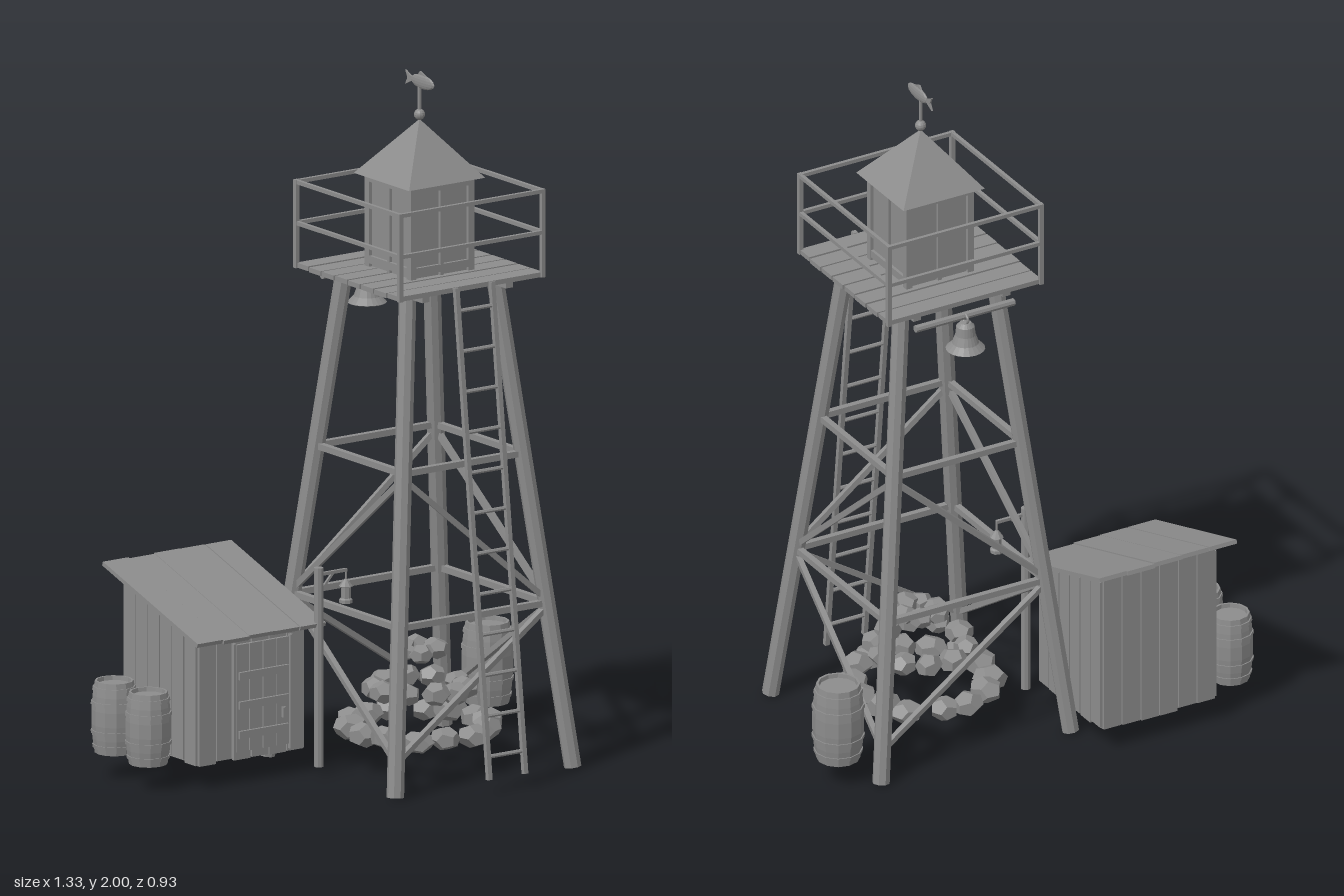
import * as THREE from 'three';

const CX = 0.19, CZ = 0.045; // tower axis
const UP = new THREE.Vector3(0, 1, 0);
const V = (x, y, z) => new THREE.Vector3(x, y, z);

export function createModel() {
  const root = new THREE.Group();
  root.name = 'watchtower';
  const grey = new THREE.MeshStandardMaterial({ color: 0x8c8c8c, flatShading: true });
  grey.name = 'weathered grey';

  let seed = 7;
  const rnd = () => (seed = (seed * 16807) % 2147483647) / 2147483647;
  const jit = (a) => (rnd() - 0.5) * 2 * a;

  const group = (name, parent = root) => {
    const g = new THREE.Group();
    g.name = name;
    parent.add(g);
    return g;
  };
  const add = (name, geo, parent, x = 0, y = 0, z = 0) => {
    const m = new THREE.Mesh(geo, grey);
    m.name = name;
    m.position.set(x, y, z);
    parent.add(m);
    return m;
  };
  const box = (name, parent, w, h, d, x, y, z) =>
    add(name, new THREE.BoxGeometry(w, h, d), parent, x, y, z);
  // straight member between two points, square or round
  const beam = (name, parent, a, b, t, sides = 0) => {
    const len = a.distanceTo(b);
    const geo = sides ? new THREE.CylinderGeometry(t, t, len, sides) : new THREE.BoxGeometry(t, len, t);
    const m = add(name, geo, parent);
    m.position.copy(a).lerp(b, 0.5);
    m.quaternion.setFromUnitVectors(UP, b.clone().sub(a).normalize());
    return m;
  };
  const lathe = (name, parent, pts, n, x, y, z) =>
    add(name, new THREE.LatheGeometry(pts.map((p) => new THREE.Vector2(p[0], p[1])), n), parent, x, y, z);

  // Tower legs and bracing
  const frame = group('towerFrame');
  const legAt = (sx, sz, y) => {
    const h = 0.308 - 0.158 * (y / 1.42);
    return V(CX + sx * h, y, CZ + sz * h);
  };
  const corners = [[1, 1], [1, -1], [-1, -1], [-1, 1]];
  corners.forEach((c, i) => {
    beam('leg', frame, legAt(...c, 0.003), legAt(...c, 1.415), 0.025, 8);
    const n = corners[(i + 1) % 4];
    for (const y of [0.475, 0.905]) beam('crossBeam', frame, legAt(...c, y), legAt(...n, y), 0.018);
    // braces meet at mid height on the front-left and back-right legs
    const [m, e] = i % 2 === 0 ? [c, n] : [n, c];
    beam('upperBrace', frame, legAt(...e, 0.89), legAt(...m, 0.485), 0.016);
    beam('lowerBrace', frame, legAt(...m, 0.465), legAt(...e, 0.1), 0.016);
  });

  // Deck planks and joists
  const deck = group('deck');
  for (let i = 0; i < 8; i++)
    box('deckPlank', deck, 0.5 + jit(0.004), 0.014, 0.056, CX, 1.422 + jit(0.001), CZ - 0.219 + i * 0.0626);
  for (const s of [-1, 1]) box('joist', deck, 0.025, 0.02, 0.46, CX + s * 0.145, 1.405, CZ);

  // Railing
  const railing = group('railing');
  corners.forEach((c, i) => {
    const p = (k, y) => V(CX + k[0] * 0.247, y, CZ + k[1] * 0.247);
    beam('railPost', railing, p(c, 1.415), p(c, 1.67), 0.013);
    for (const y of [1.545, 1.664]) beam('rail', railing, p(c, y), p(corners[(i + 1) % 4], y), 0.011);
  });

  // Lookout cabin
  const cabin = group('cabin');
  box('cabinCore', cabin, 0.2, 0.27, 0.2, CX, 1.563, CZ);
  for (let i = 0; i < 4; i++) {
    const side = group('cabinWall', cabin);
    side.position.set(CX, 0, CZ);
    side.rotation.y = (i * Math.PI) / 2;
    box('cornerPost', side, 0.02, 0.27, 0.02, 0.1, 1.563, 0.1);
    box('mullion', side, 0.012, 0.27, 0.012, 0, 1.563, 0.102);
    box('sill', side, 0.2, 0.022, 0.014, 0, 1.45, 0.102);
    box('lintel', side, 0.2, 0.02, 0.014, 0, 1.685, 0.102);
  }
  const roof = add('cabinRoof', new THREE.ConeGeometry(0.132 * Math.SQRT2, 0.163, 4), cabin, CX, 1.777, CZ);
  roof.rotation.y = Math.PI / 4;

  // Weather vane with a fish
  const vane = group('weatherVane');
  add('ball', new THREE.SphereGeometry(0.016, 12, 8), vane, CX, 1.872, CZ);
  beam('rod', vane, V(CX, 1.86, CZ), V(CX, 1.97, CZ), 0.005, 8);
  add('fishBody', new THREE.SphereGeometry(1, 12, 8), vane, CX, 1.968, 0.06).scale.set(0.008, 0.021, 0.056);
  const fin = (name, pts) => {
    const s = new THREE.Shape(pts.map((p) => new THREE.Vector2(p[0], p[1])));
    const g = new THREE.ExtrudeGeometry(s, { depth: 0.005, bevelEnabled: false });
    add(name, g.rotateY(-Math.PI / 2), vane, CX + 0.0025, 1.968, 0);
  };
  fin('tailFin', [[0.014, 0.004], [-0.02, 0.02], [-0.01, 0], [-0.02, -0.02], [0.014, -0.004]]);
  fin('backFin', [[0.08, 0.018], [0.05, 0.03], [0.035, 0.014]]);

  // Bell under the back edge
  const bell = group('bell');
  beam('bellBeam', bell, V(0.03, 1.38, -0.2), V(0.35, 1.38, -0.2), 0.011, 8);
  lathe('bellBody', bell, [[0, 0.085], [0.016, 0.083], [0.026, 0.072], [0.029, 0.045], [0.038, 0.02], [0.056, 0.002],
    [0.053, 0], [0.034, 0.018], [0.024, 0.045], [0, 0.07]].reverse(), 20, CX, 1.278, -0.205);
  add('bellLoop', new THREE.TorusGeometry(0.014, 0.004, 6, 12), bell, CX, 1.372, -0.205).rotation.y = Math.PI / 2;
  add('clapper', new THREE.SphereGeometry(0.011, 8, 6), bell, CX, 1.284, -0.205);

  // Ladder
  const ladder = group('ladder');
  const ladderZ = (y) => 0.46 - (0.158 * (y - 0.04)) / 1.39;
  for (const s of [-1, 1])
    beam('ladderRail', ladder, V(CX + 0.002 + s * 0.062, 0.04, 0.46), V(CX + 0.002 + s * 0.062, 1.43, 0.302), 0.014);
  for (let i = 0; i < 12; i++) {
    const y = 0.105 + i * 0.1145;
    beam('rung', ladder, V(CX - 0.06, y, ladderZ(y)), V(CX + 0.064, y, ladderZ(y)), 0.006, 6);
  }

  // Rings of stones under the tower
  const stones = group('stoneRings');
  for (const [y, r, n, s] of [[0.108, 0.195, 14, 0.047], [0.22, 0.128, 10, 0.041], [0.328, 0.052, 6, 0.036]])
    for (let i = 0; i < n; i++) {
      const a = (i / n) * Math.PI * 2 + jit(0.06);
      const m = add('stone', new THREE.DodecahedronGeometry(s), stones,
        CX + Math.cos(a) * r, y + jit(0.006), CZ + Math.sin(a) * r);
      m.scale.set(1 + jit(0.12), 0.78 + jit(0.1), 1 + jit(0.12));
      m.rotation.y = rnd() * 6;
    }

  // Shed: body, wall planks, sloping roof, door
  const shed = group('shed');
  const X0 = -0.5, X1 = -0.135, ZB = -0.41, ZF = -0.065, Y0 = 0.07;
  const roofY = (z) => 0.422 - 0.326 * z;
  const profile = new THREE.Shape([[ZB, Y0], [ZF, Y0], [ZF, roofY(ZF)], [ZB, roofY(ZB)]].map((p) => new THREE.Vector2(...p)));
  add('shedBody', new THREE.ExtrudeGeometry(profile, { depth: X1 - X0, bevelEnabled: false }).rotateY(-Math.PI / 2), shed, X1);
  const N = 6;
  for (let i = 0; i < N; i++) {
    const w = (X1 - X0) / N, d = (ZF - ZB) / N;
    const x = X0 + (i + 0.5) * w, z = ZB + (i + 0.5) * d;
    for (const zz of [ZB, ZF]) {
      const b = Y0 + jit(0.006), t = roofY(zz) - 0.003;
      box('wallPlank', shed, w - 0.004, t - b, 0.012 + jit(0.002), x, (t + b) / 2, zz);
    }
    for (const xx of [X0, X1]) {
      const b = Y0 + jit(0.006), t = roofY(z + d / 2);
      box('sidePlank', shed, 0.012 + jit(0.002), t - b, d - 0.004, xx, (t + b) / 2, z);
    }
  }
  const tilt = Math.atan(0.326);
  for (let i = 0; i < 5; i++) {
    const z = -0.232 + jit(0.004);
    const m = box('roofPlank', shed, 0.088, 0.012, 0.476, -0.5 + i * 0.0895, roofY(-0.232) + 0.008 + jit(0.003), z);
    m.rotation.x = tilt;
  }
  const door = group('door', shed);
  for (let i = 0; i < 4; i++)
    box('doorPlank', door, 0.043, 0.31, 0.01, -0.353 + i * 0.046, 0.245, ZF + 0.01);
  for (const y of [0.14, 0.225, 0.31]) box('doorBatten', door, 0.17, 0.022, 0.01, -0.284, y, ZF + 0.018);
  for (const x of [-0.382, -0.186]) box('doorJamb', door, 0.01, 0.33, 0.016, x, 0.24, ZF + 0.01);
  box('doorHandle', door, 0.01, 0.03, 0.012, -0.215, 0.185, ZF + 0.02);

  // Lantern post
  const post = group('lanternPost');
  beam('post', post, V(-0.118, 0.02, -0.012), V(-0.118, 0.595, -0.012), 0.014, 8);
  beam('arm', post, V(-0.12, 0.575, -0.012), V(-0.022, 0.575, -0.012), 0.009);
  beam('armBrace', post, V(-0.118, 0.52, -0.012), V(-0.07, 0.572, -0.012), 0.007);
  beam('hook', post, V(-0.024, 0.545, -0.012), V(-0.024, 0.575, -0.012), 0.003, 6);
  lathe('lantern', post, [[0, 0], [0.019, 0], [0.019, 0.01], [0.014, 0.014], [0.014, 0.045], [0.02, 0.048], [0.005, 0.068], [0, 0.07]],
    8, -0.024, 0.48, -0.012);

  // Barrels with hoops and sunken lids
  const barrel = (x, z, r, h) => {
    const g = group('barrel');
    g.position.set(x, Y0, z);
    const rad = (t) => r * (0.98 - 0.6 * (t - 0.5) ** 2);
    const side = [0, 0.2, 0.4, 0.6, 0.8, 1].map((t) => [rad(t), t * h]);
    lathe('staves', g, [[0, 0.008], [r * 0.74, 0.008], [r * 0.76, 0], ...side, [r * 0.74, h], [r * 0.72, h - 0.012], [0, h - 0.012]], 12, 0, 0, 0);
    for (const t of [0.1, 0.3, 0.7, 0.9])
      add('hoop', new THREE.CylinderGeometry(rad(t + 0.025) + 0.003, rad(t - 0.025) + 0.003, h * 0.05, 12), g, 0, t * h, 0);
  };
  barrel(0.587, -0.177, 0.075, 0.235);
  barrel(-0.6, -0.325, 0.066, 0.208);
  barrel(-0.6, -0.162, 0.066, 0.208);

  return root;
}
